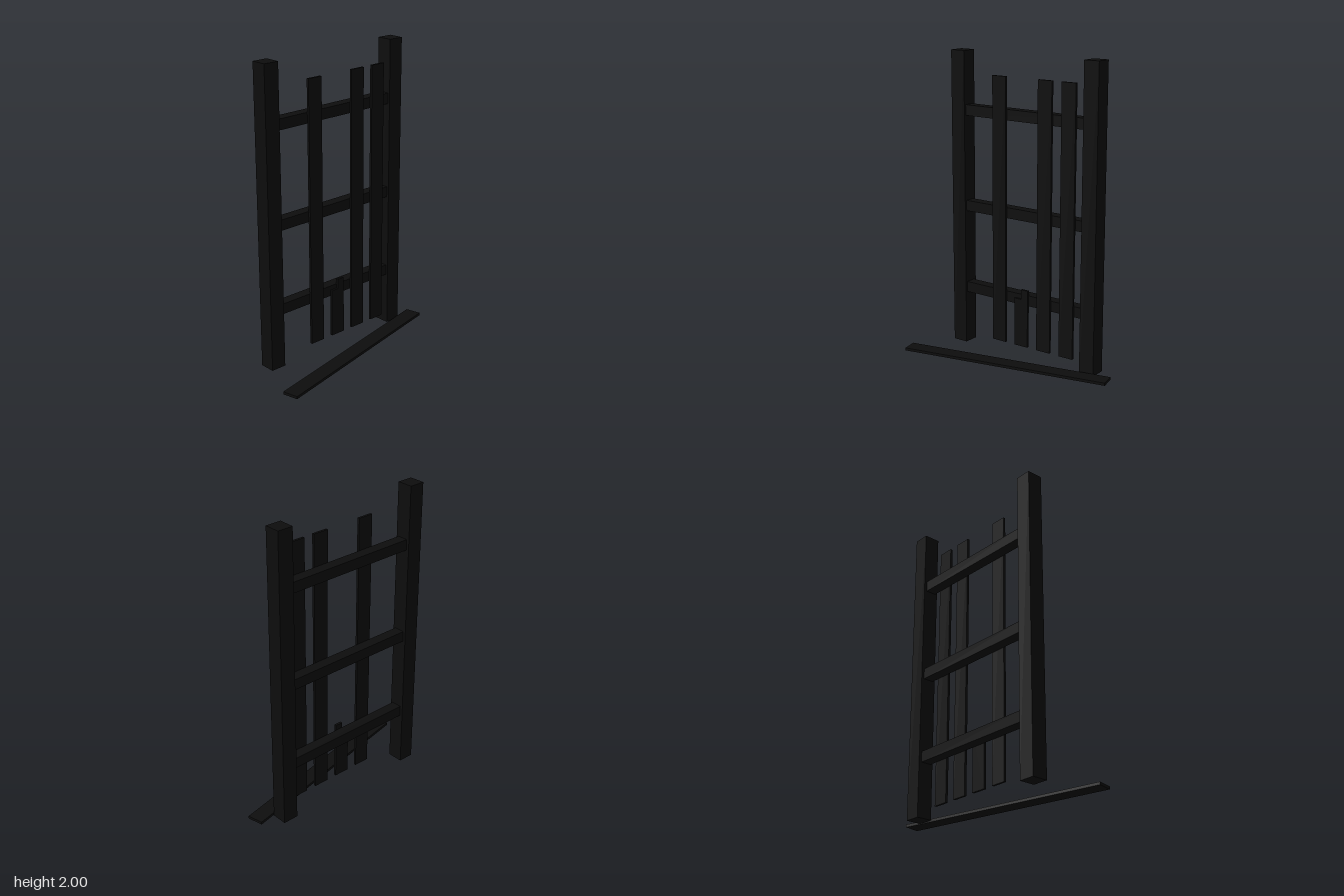
import * as THREE from 'three';

export function createModel() {
  const model = new THREE.Group();
  model.name = 'brokenFencePanel';
  const black = new THREE.MeshStandardMaterial({ color: 0x0d0d0d });
  black.name = 'black';

  const add = (name, geometry, x, y, z) => {
    const mesh = new THREE.Mesh(geometry, black);
    mesh.name = name;
    mesh.position.set(x, y, z);
    model.add(mesh);
    return mesh;
  };

  // Square end posts
  for (const [side, name] of [[-1, 'rightPost'], [1, 'leftPost']])
    add(name, new THREE.BoxGeometry(0.106, 2, 0.106), side * 0.517, 1, -0.192);

  // Horizontal rails between the posts
  [['lowerRail', 0.395], ['middleRail', 0.965], ['upperRail', 1.61]].forEach(([name, y]) =>
    add(name, new THREE.BoxGeometry(0.93, 0.071, 0.072), 0, y, -0.19));

  // Full-height slats on the front of the rails
  const width = 0.106, depth = 0.016, bottom = 0.074, top = 1.857, slatZ = -0.147;
  [-0.179, 0.178, 0.356].forEach((x, i) =>
    add(`slat${i + 1}`, new THREE.BoxGeometry(width, top - bottom, depth), x, (top + bottom) / 2, slatZ));

  // Snapped slat with a stepped top
  const stub = new THREE.Shape([
    [-0.053, bottom], [0.053, bottom], [0.053, 0.467], [0, 0.467], [0, 0.4], [-0.053, 0.4],
  ].map(([x, y]) => new THREE.Vector2(x, y)));
  add('brokenSlat', new THREE.ExtrudeGeometry(stub, { depth, bevelEnabled: false }), 0, 0, slatZ - depth / 2);

  // Loose slat lying on the ground
  const fallen = add('fallenSlat', new THREE.BoxGeometry(1.43, 0.018, width), 0, 0.009, 0.04);
  fallen.rotation.y = THREE.MathUtils.degToRad(12);

  return model;
}
